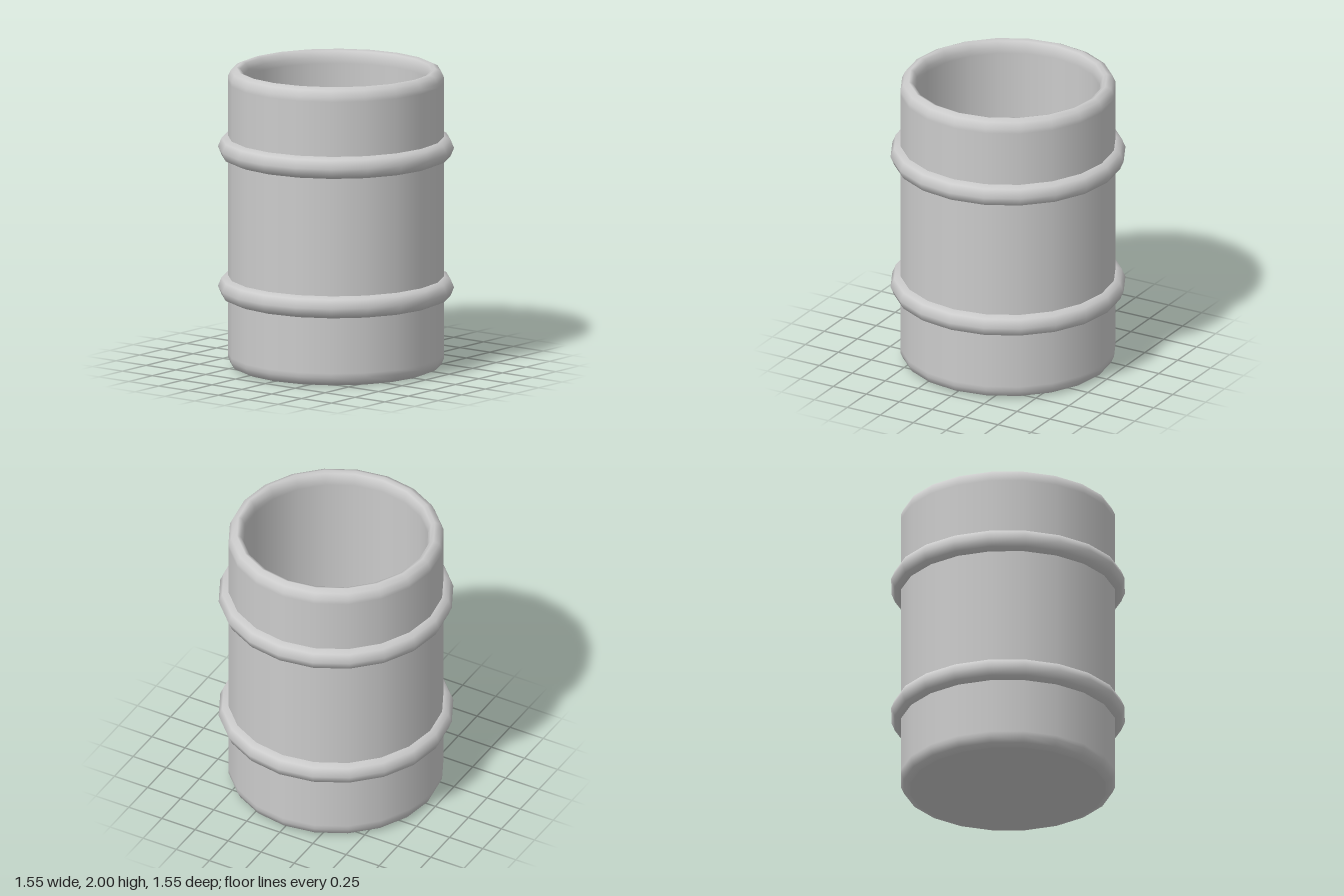
import * as THREE from 'three';

const SIDES = 20;

// Flat inner floor in strips, its normals leaning inward to blend with the wall
function floorGeometry(radius, y) {
  const pos = [], nor = [], index = [];
  for (let i = 0; i < SIDES; i++) {
    const a = (i / SIDES) * Math.PI * 2;
    const s = Math.sin(a), c = Math.cos(a);
    pos.push(radius * s, y, radius * c);
    nor.push(-s * Math.SQRT1_2, Math.SQRT1_2, -c * Math.SQRT1_2);
  }
  for (let i = 0; i < SIDES / 2; i++) {
    const j = (SIDES - i) % SIDES, k = SIDES - 1 - i;
    if (i + 1 !== k) index.push(i, i + 1, k);
    if (i !== j) index.push(i, k, j);
  }
  const g = new THREE.BufferGeometry();
  g.setAttribute('position', new THREE.Float32BufferAttribute(pos, 3));
  g.setAttribute('normal', new THREE.Float32BufferAttribute(nor, 3));
  g.setIndex(index);
  return g;
}

export function createModel() {
  const group = new THREE.Group();
  const material = new THREE.MeshStandardMaterial({ color: 0xcccccc });
  const add = (name, geometry) => {
    const mesh = new THREE.Mesh(geometry, material);
    mesh.name = name;
    group.add(mesh);
    return mesh;
  };

  // Barrel wall: rounded foot, outer side, rounded rim, inner side
  const profile = [
    [0.65, 0], [0.693, 0.018], [0.712, 0.06], [0.712, 0.09],
    [0.712, 1.91], [0.712, 1.94], [0.693, 1.982], [0.655, 2],
    [0.63, 1.99], [0.612, 1.95], [0.612, 1.91], [0.612, 0.16], [0.612, 0.14], [0.575, 0.1],
  ].map(([r, y]) => new THREE.Vector2(r, y));
  add('barrelWall', new THREE.LatheGeometry(profile, SIDES));

  // Underside and inner floor
  add('underside', new THREE.CircleGeometry(0.65, SIDES).rotateX(Math.PI / 2));
  add('innerFloor', floorGeometry(0.575, 0.1));

  // Two raised hoops
  for (const [name, y] of [['lowerHoop', 0.535], ['upperHoop', 1.47]]) {
    const hoop = new THREE.TorusGeometry(0.697, 0.08, 8, SIDES).rotateX(Math.PI / 2);
    add(name, hoop).position.y = y;
  }

  return group;
}
